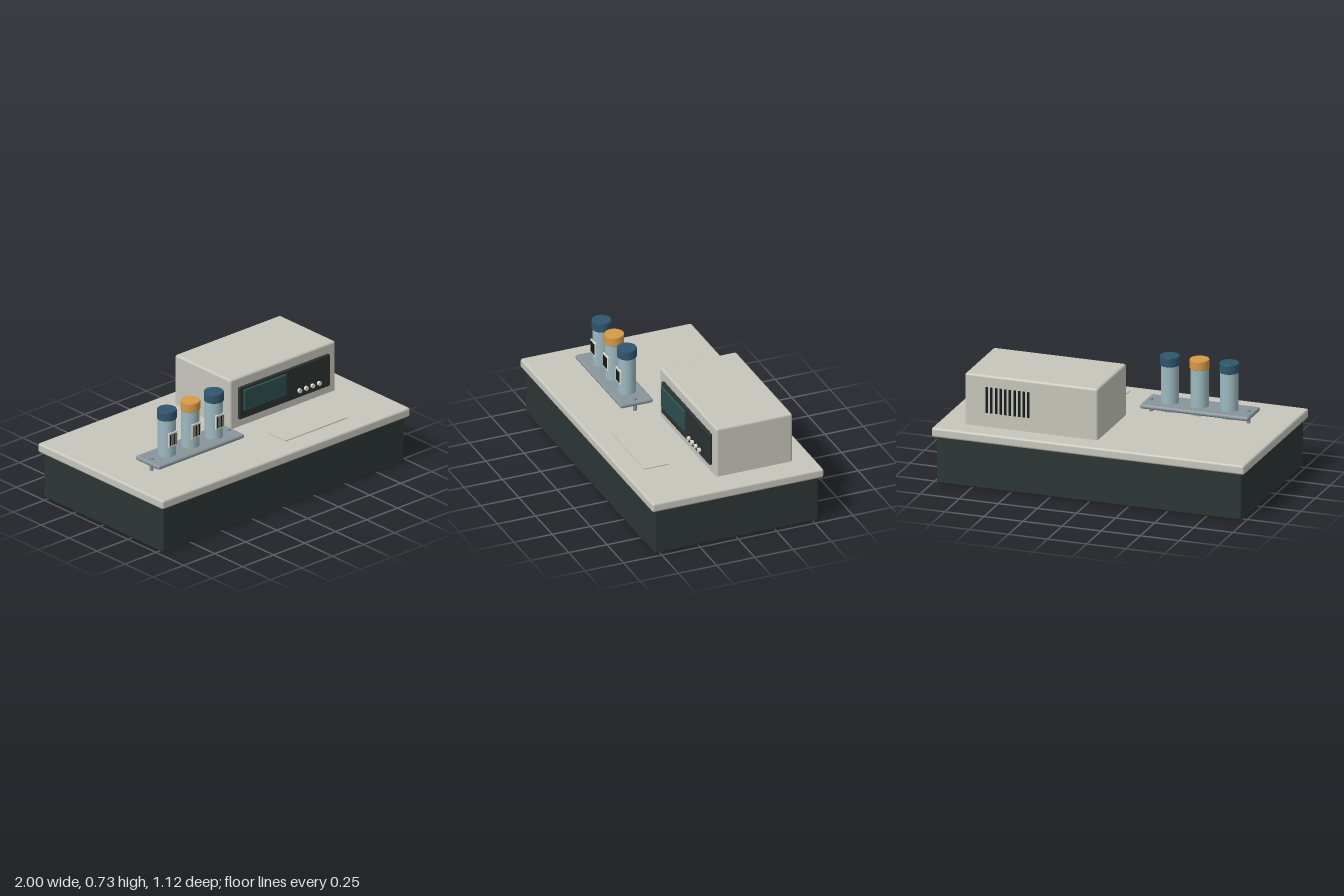
import * as THREE from 'three';
import { RoundedBoxGeometry } from 'three/addons/geometries/RoundedBoxGeometry.js';

const mat = (name, color) => new THREE.MeshStandardMaterial({ name, color });

export function createModel() {
  const model = new THREE.Group();
  model.name = 'labBench';

  const shell = mat('warmGrey', 0xc6c6bc);
  const dark = mat('darkGreenGrey', 0x2c3635);
  const panelDark = mat('panelCharcoal', 0x2a3231);
  const screenTeal = mat('screenTeal', 0x2c4f4e);
  const steel = mat('steel', 0x87949a);
  const glass = mat('paleBlueGlass', 0x9dbac0);
  const capBlue = mat('capBlue', 0x2f566d);
  const capAmber = mat('capAmber', 0xd79a45);
  const paper = mat('labelPaper', 0xdedcd0);
  const black = mat('nearBlack', 0x161a1a);

  const add = (name, geometry, material, parent = model) => {
    const mesh = new THREE.Mesh(geometry, material);
    mesh.name = name;
    parent.add(mesh);
    return mesh;
  };
  // Box given by its extents on each axis; r rounds the edges
  const box = (name, [x0, x1], [y0, y1], [z0, z1], material, r = 0, parent = model) => {
    const size = [x1 - x0, y1 - y0, z1 - z0];
    const geometry = r ? new RoundedBoxGeometry(...size, 3, r) : new THREE.BoxGeometry(...size);
    const mesh = add(name, geometry, material, parent);
    mesh.position.set((x0 + x1) / 2, (y0 + y1) / 2, (z0 + z1) / 2);
    return mesh;
  };

  // Bench
  box('benchBase', [-0.975, 0.975], [0, 0.31], [-0.535, 0.535], dark, 0.012);
  box('benchTop', [-1, 1], [0.298, 0.358], [-0.56, 0.56], shell, 0.014);

  // Instrument with display panel
  box('instrumentCase', [-0.015, 0.835], [0.34, 0.683], [-0.426, 0.073], shell, 0.015);
  box('controlPanel', [0.045, 0.775], [0.41, 0.62], [0.07, 0.092], panelDark, 0.008);
  box('displayScreen', [0.075, 0.415], [0.463, 0.602], [0.085, 0.105], screenTeal, 0.006);
  for (let i = 0; i < 4; i++) {
    const button = add('panelButton', new THREE.CylinderGeometry(0.014, 0.014, 0.015, 20), paper);
    button.rotation.x = Math.PI / 2;
    button.position.set(0.51 + i * 0.0525, 0.467, 0.113);
  }

  // Cooling slots on the back of the case
  for (let i = 0; i < 10; i++) {
    const x = 0.427 + i * 0.0295;
    box('ventSlot', [x - 0.007, x + 0.007], [0.447, 0.61], [-0.431, -0.423], black);
  }

  // Thin tray card in front of the instrument
  box('trayCard', [0.1, 0.6], [0.37, 0.376], [0.28, 0.44], shell);

  // Tube rack with two posts
  const rack = new THREE.Group();
  rack.name = 'tubeRack';
  model.add(rack);
  box('rackPlate', [-0.79, -0.095], [0.402, 0.43], [0.08, 0.292], steel, 0.013, rack);
  for (const x of [-0.753, -0.13]) {
    add('rackPost', new THREE.CylinderGeometry(0.012, 0.012, 0.09, 20), steel, rack)
      .position.set(x, 0.396, 0.187);
  }

  // Capped sample tubes with barcode labels
  const capProfile = [[0, 0], [0.058, 0], [0.06, 0.003], [0.06, 0.053], [0.058, 0.059], [0, 0.06]]
    .map(([x, y]) => new THREE.Vector2(x, y));
  const bars = [[-0.024, 0.006], [-0.014, 0.004], [-0.003, 0.008], [0.009, 0.005], [0.021, 0.009]];
  [-0.63, -0.44, -0.25].forEach((x, i) => {
    const tube = new THREE.Group();
    tube.name = 'sampleTube';
    tube.position.set(x, 0, 0.187);
    rack.add(tube);
    add('tubeBody', new THREE.CylinderGeometry(0.055, 0.055, 0.295, 40), glass, tube).position.y = 0.5275;
    // Doubled profile points keep the cap rim crisp
    const profile = capProfile.flatMap((p, k) => (k % 5 ? [p, p.clone()] : [p]));
    add('tubeCap', new THREE.LatheGeometry(profile, 40), i === 1 ? capAmber : capBlue, tube).position.y = 0.668;
    box('tubeLabel', [-0.037, 0.037], [0.495, 0.592], [0.048, 0.058], paper, 0.004, tube);
    for (const [bx, w] of bars) {
      box('barcodeBar', [bx - w / 2, bx + w / 2], [0.508, 0.58], [0.056, 0.06], black, 0, tube);
    }
  });

  return model;
}
